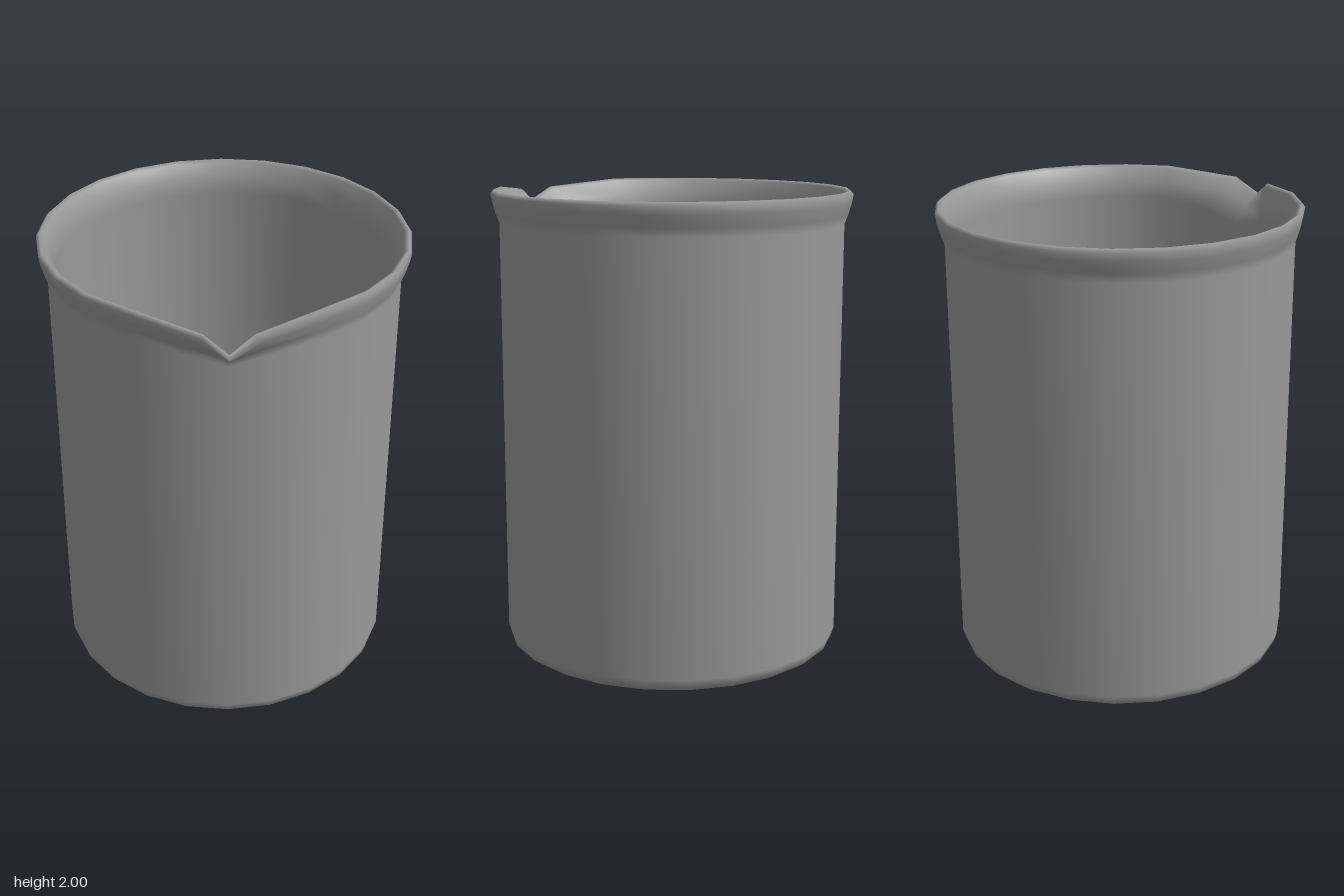
import * as THREE from 'three';
import { mergeVertices } from 'three/addons/utils/BufferGeometryUtils.js';

const SIDES = 24;

// Closed wall section: [radius, height, outward spout pull, downward spout pull]
const SECTION = [
  [0, 0, 0, 0],
  [0.65, 0, 0, 0],
  [0.695, 0.008, 0, 0],
  [0.724, 0.028, 0, 0],
  [0.735, 0.065, 0, 0],
  [0.735, 1.86, 0, 0.75], // flare starts
  [0.75, 1.9, 0.5, 0.5],
  [0.764, 1.95, 0.85, 0.8],
  [0.77, 1.985, 1, 1], // lip
  [0.757, 2, 1, 1],
  [0.738, 1.99, 0.95, 1],
  [0.716, 1.93, 0.6, 0.7],
  [0.7, 1.86, 0, 0.75],
  [0.7, 0.11, 0, 0], // inside wall
  [0.687, 0.07, 0, 0],
  [0.64, 0.045, 0, 0],
  [0, 0.04, 0, 0],
];

function beakerGeometry() {
  const profile = SECTION.map(([r, y]) => new THREE.Vector2(r, y));
  const geometry = new THREE.LatheGeometry(profile, SIDES, Math.PI);
  const pos = geometry.attributes.position;

  // Pull the lip out and down at the front to form the pouring spout
  for (let i = 0; i < pos.count; i++) {
    const [, , out, down] = SECTION[i % SECTION.length];
    const column = Math.floor(i / SECTION.length) - SIDES / 2;
    const x = pos.getX(i), y = pos.getY(i), z = pos.getZ(i);
    if (column === 0) {
      pos.setXYZ(i, x, y - 0.095 * down, z + 0.098 * out);
    } else if (Math.abs(column) === 1) {
      pos.setXYZ(i, x - 0.1 * out * Math.sign(x), y - 0.03 * down, z + 0.08 * out);
    }
  }

  // Weld the seam and shade smoothly
  geometry.deleteAttribute('uv');
  geometry.deleteAttribute('normal');
  const welded = mergeVertices(geometry, 1e-5);
  welded.computeVertexNormals();
  return welded;
}

export function createModel() {
  const group = new THREE.Group();
  group.name = 'beaker';
  const material = new THREE.MeshStandardMaterial({ color: 0x999999 });

  const body = new THREE.Mesh(beakerGeometry(), material);
  body.name = 'beakerBody';
  body.position.z = -0.05; // the spout shifts the round body back
  group.add(body);
  return group;
}
